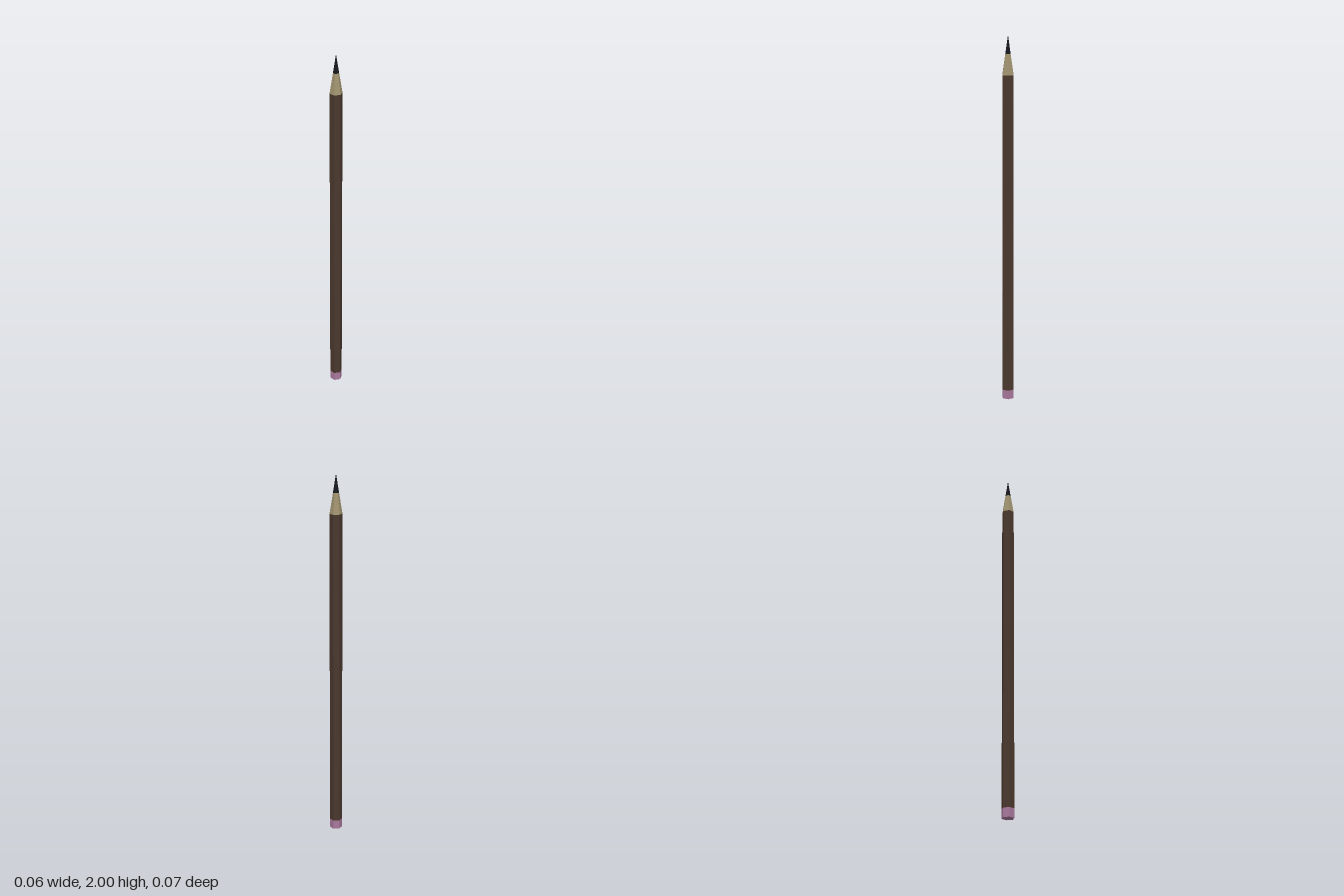
import * as THREE from 'three';

const SIDES = 6;
const RADIUS = 0.034;
const LEAD_RADIUS = 0.016;

export function createModel() {
  const pencil = new THREE.Group();
  pencil.name = 'pencil';

  // One hexagonal section between two heights, with corners on the z axis
  function section(name, color, y0, y1, r0, r1, open) {
    const geometry = new THREE.CylinderGeometry(r1, r0, y1 - y0, SIDES, 1, open);
    geometry.translate(0, (y0 + y1) / 2, 0);
    const material = new THREE.MeshStandardMaterial({ color, flatShading: true });
    if (open) material.side = THREE.DoubleSide;
    const mesh = new THREE.Mesh(geometry, material);
    mesh.name = name;
    pencil.add(mesh);
  }

  // Eraser end, painted shaft, sharpened wood and lead point
  section('eraser', 0xa8789c, 0, 0.05, RADIUS, RADIUS, false);
  section('shaft', 0x4a382e, 0.05, 1.79, RADIUS, RADIUS, true);
  section('sharpenedWood', 0xa0936f, 1.79, 1.9, RADIUS, LEAD_RADIUS, true);
  section('leadTip', 0x16181e, 1.9, 2, LEAD_RADIUS, 0, true);

  return pencil;
}
